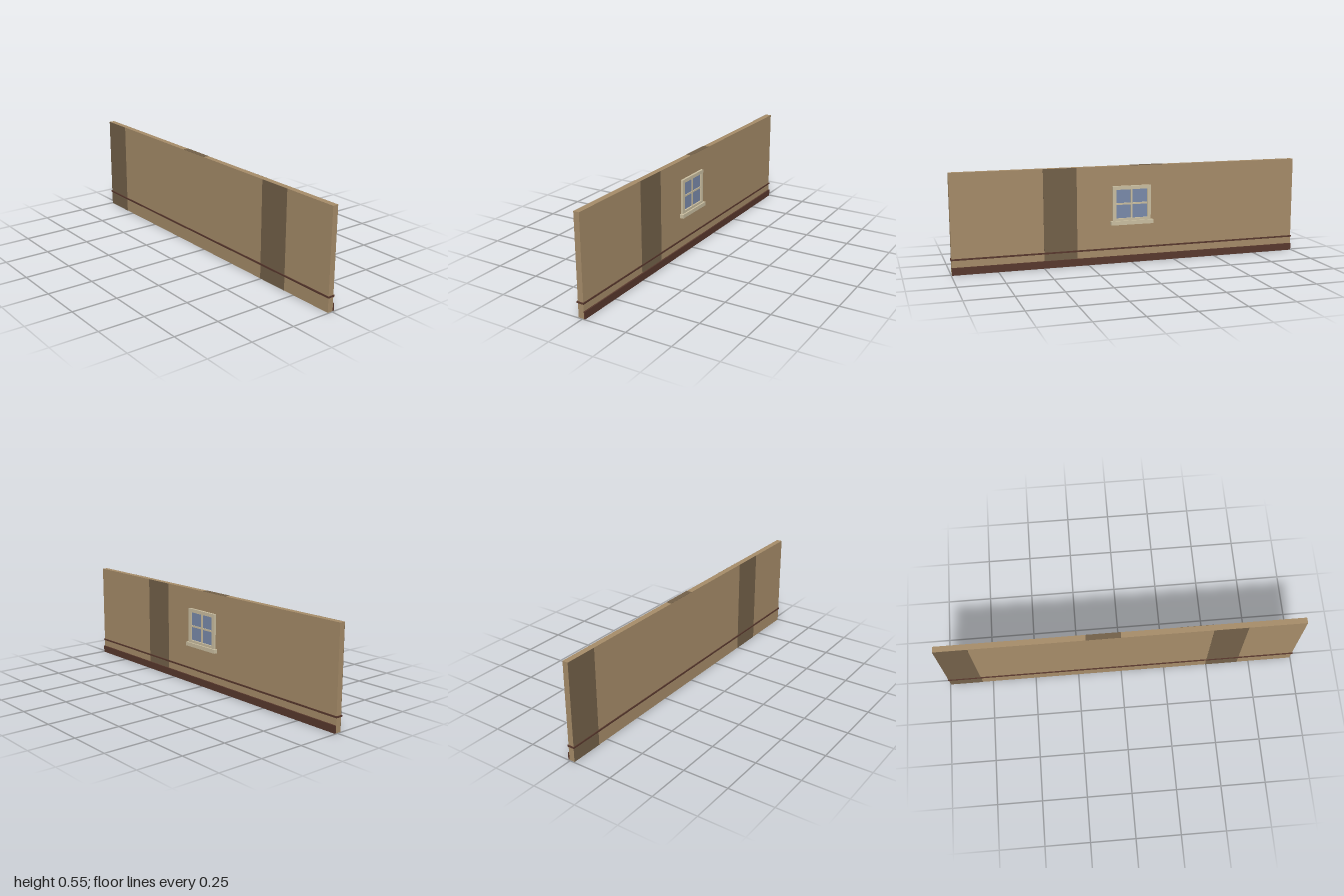
import * as THREE from 'three';

const material = (name, color) => {
  const m = new THREE.MeshStandardMaterial({ color });
  m.name = name;
  return m;
};

export function createModel() {
  const plaster = material('tan plaster', 0xa68c69);
  const shade = material('dark plaster', 0x736149);
  const wood = material('dark brown wood', 0x58382d);
  const cream = material('cream frame', 0xcbbfa1);
  const glass = material('blue glass', 0x7a8bab);

  const model = new THREE.Group();
  model.name = 'wallSection';

  // Box given by its lower and upper limits on each axis
  const box = (parent, name, mat, [x0, x1], [y0, y1], [z0, z1]) => {
    const mesh = new THREE.Mesh(new THREE.BoxGeometry(x1 - x0, y1 - y0, z1 - z0), mat);
    mesh.position.set((x0 + x1) / 2, (y0 + y1) / 2, (z0 + z1) / 2);
    mesh.name = name;
    parent.add(mesh);
  };

  const W = 0.996, H = 0.545, front = 0.025, back = -0.007, t = 0.001;

  // Wall slab
  box(model, 'wall', plaster, [-W, W], [0, H], [back, front]);

  // Dark painted bands on the front, back and top
  box(model, 'frontBandOuter', shade, [-W, -0.812], [0, H], [front, front + t]);
  box(model, 'frontBandInner', shade, [0.496, 0.682], [0, H], [front, front + t]);
  box(model, 'backBand', shade, [0.312, 0.498], [0, H], [back - t, back]);
  box(model, 'topBand', shade, [-0.188, 0], [H, H + t], [back, front]);

  // Rail wrapped around the wall, and skirting along the back
  box(model, 'rail', wood, [-1, 1], [0.078, 0.087], [-0.011, 0.03]);
  box(model, 'skirting', wood, [-W, W], [0, 0.04], [-0.015, back]);

  // Window on the back
  const win = new THREE.Group();
  win.name = 'window';
  model.add(win);
  const fw = 0.11, y0 = 0.24, y1 = 0.435, bar = 0.02, depth = [-0.02, back];
  box(win, 'glass', glass, [-fw + bar, fw - bar], [y0, y1 - bar], [-0.011, back]);
  box(win, 'frameTop', cream, [-fw, fw], [y1 - bar, y1], depth);
  box(win, 'frameBottom', cream, [-fw + bar, fw - bar], [y0, y0 + 0.014], depth);
  for (const s of [-1, 1]) {
    const c = s * (fw - bar / 2);
    box(win, 'frameSide', cream, [c - bar / 2, c + bar / 2], [y0, y1 - bar], depth);
  }
  const mid = (y0 + 0.014 + y1 - bar) / 2;
  box(win, 'mullion', cream, [-0.005, 0.005], [y0, y1 - bar], [-0.015, back]);
  box(win, 'transom', cream, [-fw + bar, fw - bar], [mid - 0.005, mid + 0.005], [-0.015, back]);
  box(win, 'sill', cream, [-0.122, 0.122], [0.218, y0], [-0.029, back]);

  return model;
}
